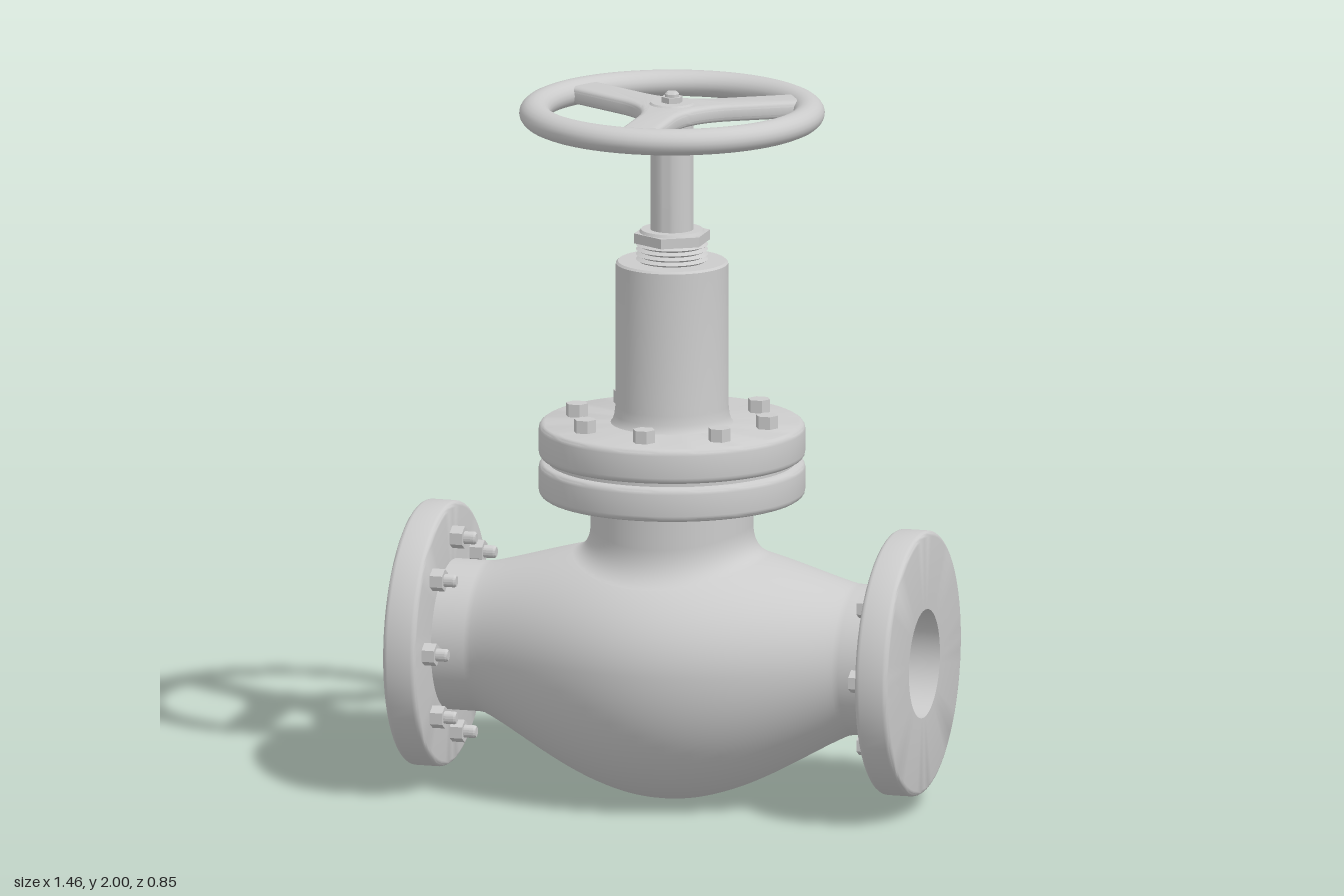
import * as THREE from 'three';
import { toCreasedNormals } from 'three/addons/utils/BufferGeometryUtils.js';
import { ParametricGeometry } from 'three/addons/geometries/ParametricGeometry.js';

const smooth = new THREE.MeshStandardMaterial({ color: 0xcccccc });
const faceted = new THREE.MeshStandardMaterial({ color: 0xcccccc, flatShading: true });
const open = new THREE.MeshStandardMaterial({ color: 0xcccccc, side: THREE.DoubleSide });

const AXIS_Y = 0.42; // height of the pipe axis
const BORE = 0.152;

function mesh(name, geometry, material = smooth) {
  const m = new THREE.Mesh(geometry, material);
  m.name = name;
  return m;
}

// Turned part about y; profile is [radius, height] from bottom to top
function turned(name, profile, segments = 64) {
  const pts = profile.map(([r, y]) => new THREE.Vector2(r, y));
  return mesh(name, toCreasedNormals(new THREE.LatheGeometry(pts, segments), 0.6));
}

// Disc with rounded rims
function discProfile(rIn, r, y0, y1, b) {
  const p = [[rIn, y0]];
  for (let i = 0; i <= 4; i++) {
    const a = (i / 4) * Math.PI / 2;
    p.push([r - b + b * Math.sin(a), y0 + b - b * Math.cos(a)]);
  }
  for (let i = 0; i <= 4; i++) {
    const a = (i / 4) * Math.PI / 2;
    p.push([r - b + b * Math.cos(a), y1 - b + b * Math.sin(a)]);
  }
  p.push([rIn, y1]);
  return p;
}

function hex(name, r, y0, y1) {
  const g = new THREE.CylinderGeometry(r, r, y1 - y0, 6);
  g.translate(0, (y0 + y1) / 2, 0);
  return mesh(name, g, faceted);
}

// Eight bolts in a circle standing on height y, optionally with stud ends
function boltCircle(name, y, stud) {
  const ring = new THREE.Group();
  ring.name = name;
  for (let i = 0; i < 8; i++) {
    const a = (i * Math.PI) / 4;
    const bolt = new THREE.Group();
    bolt.name = 'bolt';
    const head = hex('boltHead', 0.032, y - 0.005, y + 0.036);
    head.rotation.y = Math.PI / 6;
    bolt.add(head);
    if (stud) {
      bolt.add(turned('studEnd', [[0.018, y], [0.018, y + 0.064], [0.014, y + 0.07], [0, y + 0.07]], 16));
    }
    bolt.position.set(0.275 * Math.cos(a), 0, 0.275 * Math.sin(a));
    ring.add(bolt);
  }
  return ring;
}

// Body swelling along x: 1 at the middle, 0 at the pipe stubs
const bulge = (x) => Math.pow(Math.max(0, Math.cos(Math.min(Math.abs(x) / 0.53, 1) * Math.PI / 2)), 1.15);
const topRadius = (x) => 0.21 + 0.1 * bulge(x);
const sideRadius = (x) => 0.21 + 0.185 * bulge(x);
const bottomRadius = (x) => 0.21 + 0.21 * bulge(x);
const bodyTop = (x, z) => AXIS_Y + topRadius(x) * Math.sqrt(Math.max(0, 1 - (z / sideRadius(x)) ** 2));

function bodyShell() {
  return mesh('body', new ParametricGeometry((u, v, p) => {
    const a = u * Math.PI * 2, x = (v - 0.5) * 1.3, c = Math.cos(a);
    p.set(x, AXIS_Y + c * (c > 0 ? topRadius(x) : bottomRadius(x)), Math.sin(a) * sideRadius(x));
  }, 72, 72));
}

// Neck whose filleted foot follows the body
function neck() {
  const r1 = 0.226, r0 = 0.278, split = 0.7;
  return mesh('neck', new ParametricGeometry((u, v, p) => {
    const a = u * Math.PI * 2, c = Math.cos(a), s = -Math.sin(a);
    const yFoot = bodyTop(r0 * c, r0 * s), yMeet = bodyTop(r1 * c, r1 * s), yUp = yMeet + 0.07;
    let r = r1, y;
    if (v < split) {
      const t = v / split, q = 1 - t;
      r = q * q * r0 + (1 - q * q) * r1;
      y = q * q * yFoot + 2 * q * t * yMeet + t * t * yUp;
    } else {
      y = yUp + ((v - split) / (1 - split)) * (0.87 - yUp);
    }
    p.set(r * c, y, r * s);
  }, 72, 20));
}

// Pipe flange with its bolts; local +y points towards the body
function pipeFlange(name, side) {
  const g = new THREE.Group();
  g.name = name;
  g.add(turned('flangeDisc', discProfile(BORE, 0.37, 0, 0.095, 0.015)));
  g.add(boltCircle('flangeBolts', 0.095, side < 0));
  g.position.set(side * 0.73, AXIS_Y, 0);
  g.rotation.z = side * Math.PI / 2;
  return g;
}

// Three spokes merging into each other around the hub
function spokes() {
  const w = 0.035, shape = new THREE.Shape();
  const at = (angle, d, s) => [
    d * Math.cos(angle) - s * Math.sin(angle),
    d * Math.sin(angle) + s * Math.cos(angle)];
  for (let k = 0; k < 3; k++) {
    const a = Math.PI / 2 + (k * Math.PI * 2) / 3;
    if (k === 0) shape.moveTo(...at(a, 0.16, -w));
    shape.lineTo(...at(a, 0.36, -w));
    shape.lineTo(...at(a, 0.36, w));
    shape.lineTo(...at(a, 0.16, w));
    shape.quadraticCurveTo(...at(a + Math.PI / 3, w / Math.sin(Math.PI / 3), 0),
      ...at(a + (Math.PI * 2) / 3, 0.16, -w));
  }
  const g = new THREE.ExtrudeGeometry(shape, {
    depth: 0.02, bevelSize: 0.02, bevelThickness: 0.015, bevelSegments: 4, curveSegments: 16 });
  g.rotateX(Math.PI / 2);
  g.translate(0, 1.95, 0);
  return mesh('spokes', toCreasedNormals(g, 0.6));
}

function handwheel() {
  const g = new THREE.Group();
  g.name = 'handwheel';
  const rim = new THREE.TorusGeometry(0.381, 0.043, 20, 80);
  rim.rotateX(Math.PI / 2);
  rim.scale(1, 0.85, 1);
  rim.translate(0, 1.94, 0);
  g.add(mesh('rim', rim), spokes());
  g.add(turned('hub', [[0, 1.91], [0.065, 1.91], [0.065, 1.962], [0.058, 1.97], [0, 1.97]], 40));
  g.add(hex('hubNut', 0.03, 1.968, 1.986));
  g.add(turned('stemTip', [[0.02, 1.98], [0.02, 1.994], [0.014, 2], [0, 2]], 24));
  return g;
}

export function createModel() {
  const model = new THREE.Group();
  model.name = 'globeValve';

  // Body, through bore and pipe flanges
  const bore = new THREE.CylinderGeometry(BORE, BORE, 1.46, 64, 1, true);
  bore.rotateZ(Math.PI / 2);
  bore.translate(0, AXIS_Y, 0);
  model.add(bodyShell(), neck(), mesh('bore', bore, open));
  model.add(pipeFlange('leftFlange', 1), pipeFlange('rightFlange', -1));

  // Bolted bonnet joint
  model.add(turned('neckFlange', discProfile(0, 0.37, 0.855, 0.952, 0.018)));
  model.add(turned('gasket', [[0.345, 0.945], [0.345, 0.97]]));
  model.add(turned('bonnetFlange', discProfile(0, 0.37, 0.963, 1.062, 0.018)));
  model.add(boltCircle('bonnetBolts', 1.062, false));

  // Bonnet column with a flared foot
  model.add(turned('bonnet', [[0.172, 1.06], [0.165, 1.068], [0.16, 1.085], [0.157, 1.11],
    [0.156, 1.514], [0.15, 1.52], [0, 1.52]]));

  // Threaded gland, nut and stem
  const thread = [[0.085, 1.515]];
  for (let i = 0; i < 4; i++) thread.push([0.1, 1.525 + i * 0.014], [0.085, 1.532 + i * 0.014]);
  model.add(turned('glandThread', thread, 40));
  model.add(hex('glandNut', 0.108, 1.574, 1.602));
  model.add(turned('glandCollar', [[0.092, 1.6], [0.086, 1.61], [0, 1.61]], 40));
  model.add(turned('stem', [[0.06, 1.6], [0.06, 1.93]], 40));

  model.add(handwheel());
  return model;
}
